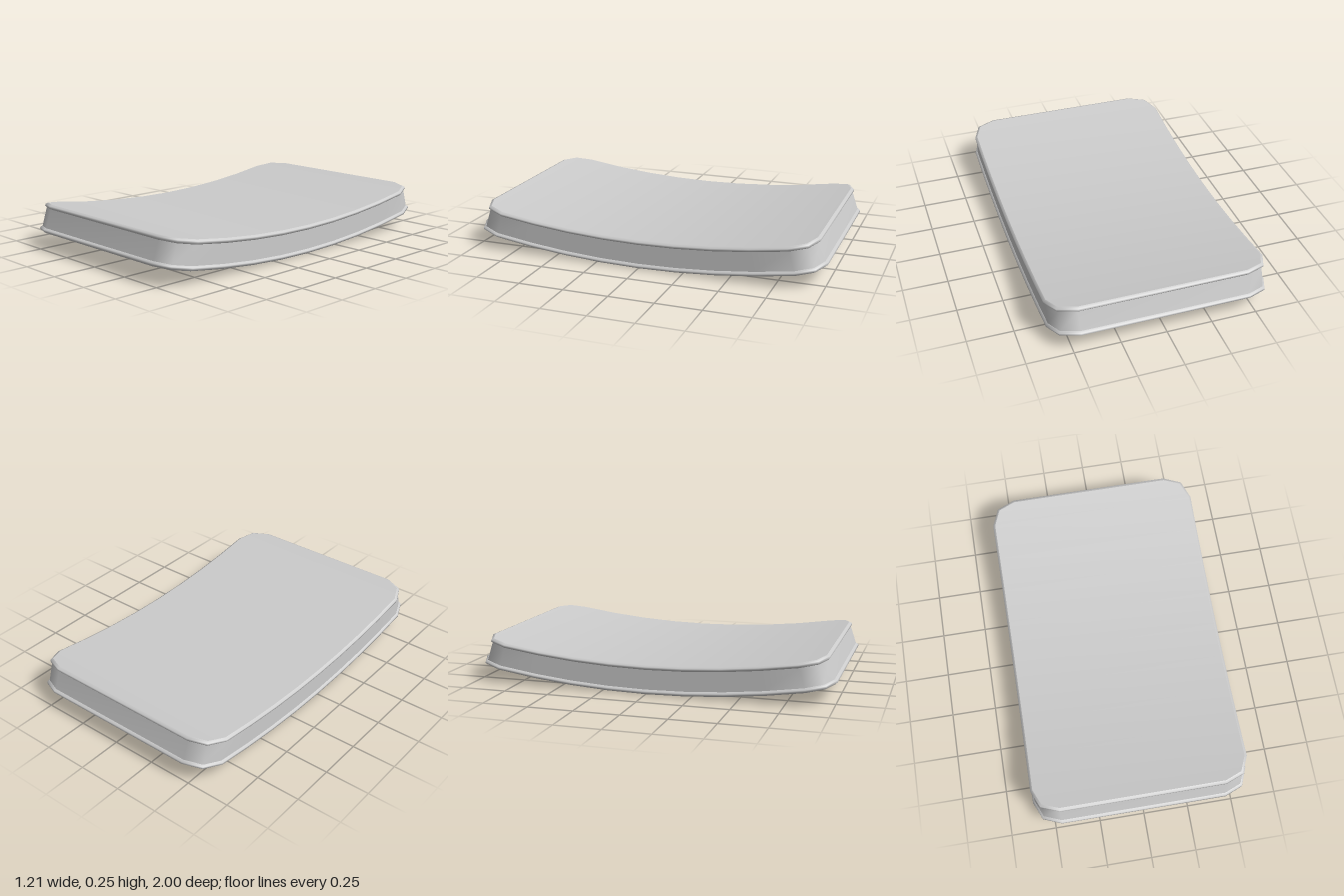
import * as THREE from 'three';

const HALF_W = 0.605, HALF_L = 1.003, RADIUS = 0.145;
const CORNER_STEPS = 2, SIDE_STEPS = 8;

// Bend: ends curl upwards and the end walls lean inwards towards the top
function bend(x, h, s) {
  const z = s * (1 - 0.32 * h);
  return [x, h + 0.1 * z * z, z];
}

// Right half of the rounded outline, from front to back
function halfOutline(inset) {
  const cx = HALF_W - RADIUS, cz = HALF_L - RADIUS, r = RADIUS - inset;
  const pts = [];
  for (let i = 0; i <= CORNER_STEPS; i++) {
    const a = (i / CORNER_STEPS) * Math.PI / 2;
    pts.push([cx + r * Math.sin(a), cz + r * Math.cos(a)]);
  }
  for (let i = 1; i < SIDE_STEPS; i++) pts.push([cx + r, cz * (1 - 2 * i / SIDE_STEPS)]);
  for (let i = 0; i <= CORNER_STEPS; i++) {
    const a = (i / CORNER_STEPS) * Math.PI / 2;
    pts.push([cx + r * Math.cos(a), -cz - r * Math.sin(a)]);
  }
  return pts;
}

function toGeometry(positions, index) {
  const g = new THREE.BufferGeometry();
  g.setAttribute('position', new THREE.Float32BufferAttribute(positions, 3));
  g.setIndex(index);
  g.computeVertexNormals();
  return g;
}

// Closed band around the outline; profile lists [inset, height] from bottom to top
function band(profile) {
  const positions = [], index = [];
  let n = 0;
  for (const [inset, h] of profile) {
    const right = halfOutline(inset);
    const left = right.map(([x, s]) => [-x, s]).reverse();
    const loop = [...right, ...left];
    n = loop.length;
    for (const [x, s] of loop) positions.push(...bend(x, h, s));
  }
  for (let j = 0; j < profile.length - 1; j++) {
    for (let i = 0; i < n; i++) {
      const k = (i + 1) % n;
      const a = j * n + i, b = j * n + k, c = b + n, d = a + n;
      index.push(a, b, c, a, c, d);
    }
  }
  return toGeometry(positions, index);
}

// Curved panel made of strips running across the width
function panel(inset, h, faceUp) {
  const positions = [], index = [];
  const right = halfOutline(inset);
  for (const [x, s] of right) positions.push(...bend(x, h, s), ...bend(-x, h, s));
  for (let i = 0; i < right.length - 1; i++) {
    const a = 2 * i, b = a + 2, c = a + 3, d = a + 1;
    if (faceUp) index.push(a, b, c, a, c, d);
    else index.push(a, c, b, a, d, c);
  }
  return toGeometry(positions, index);
}

export function createModel() {
  const group = new THREE.Group();
  group.name = 'curvedCushion';
  const material = new THREE.MeshStandardMaterial({ color: 0xcccccc });
  const add = (name, geometry) => {
    const mesh = new THREE.Mesh(geometry, material);
    mesh.name = name;
    group.add(mesh);
  };

  // Broad faces
  add('topPanel', panel(0.013, 0.16, true));
  add('bottomPanel', panel(0.013, 0, false));

  // Recessed side wall
  add('sideWall', band([[0.011, 0.026], [0.011, 0.134]]));

  // Raised piping along both edges
  add('bottomPiping', band([[0.013, 0], [0, 0.008], [0, 0.018], [0.011, 0.026]]));
  add('topPiping', band([[0.011, 0.134], [0, 0.142], [0, 0.152], [0.013, 0.16]]));

  return group;
}
